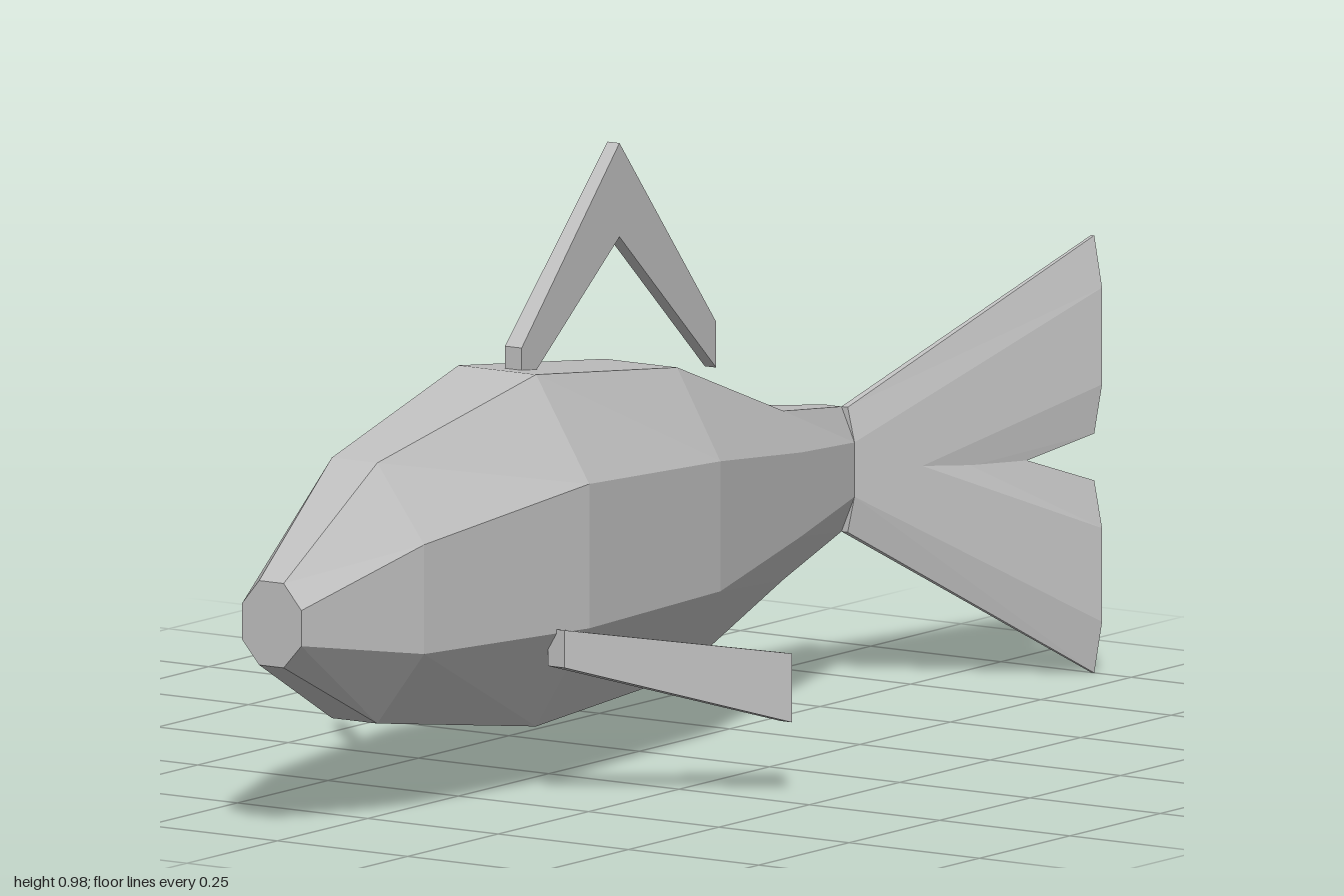
import * as THREE from 'three';

const skin = new THREE.MeshStandardMaterial({ color: 0xbfbfbf, flatShading: true });
skin.name = 'plain grey';

// Closed skin over matching rings, ordered front to back,
// each ring counter-clockwise as seen from the front.
function loft(name, rings) {
  const n = rings[0].length;
  const pos = [];
  const tri = (a, b, c) => pos.push(...a, ...b, ...c);
  for (let k = 0; k < rings.length - 1; k++) {
    for (let i = 0; i < n; i++) {
      const j = (i + 1) % n;
      const a = rings[k][i], b = rings[k][j], c = rings[k + 1][i], d = rings[k + 1][j];
      tri(a, c, b);
      tri(b, c, d);
    }
  }
  const front = rings[0], back = rings[rings.length - 1];
  for (let i = 1; i < n - 1; i++) {
    tri(front[0], front[i], front[i + 1]);
    tri(back[0], back[i + 1], back[i]);
  }
  const geometry = new THREE.BufferGeometry();
  geometry.setAttribute('position', new THREE.Float32BufferAttribute(pos, 3));
  geometry.computeVertexNormals();
  const mesh = new THREE.Mesh(geometry, skin);
  mesh.name = name;
  return mesh;
}

// Eight-sided section: outer x pair, flat x pair, then the four heights
const octagon = ([z, xl, xr, fl, fr, bottom, low, high, top]) => [
  [xr, low, z], [xr, high, z], [fr, top, z], [fl, top, z],
  [xl, high, z], [xl, low, z], [fl, bottom, z], [fr, bottom, z],
];

// Four-sided section of a plate
const plate = ([z, xl, xr, bottom, top]) => [
  [xr, bottom, z], [xr, top, z], [xl, top, z], [xl, bottom, z],
];

export function createModel() {
  const fish = new THREE.Group();
  fish.name = 'fish';

  // Body, bending to one side towards the tail
  fish.add(loft('body', [
    [1.0, -0.068, 0.046, -0.035, 0.012, 0.28, 0.318, 0.375, 0.415],
    [0.77, -0.132, 0.122, -0.055, 0.032, 0.16, 0.28, 0.455, 0.577],
    [0.39, -0.18, 0.175, -0.076, 0.073, 0.105, 0.272, 0.503, 0.668],
    [-0.04, -0.18, 0.128, -0.093, 0.045, 0.12, 0.265, 0.473, 0.615],
    [-0.42, -0.143, 0.02, -0.1, -0.015, 0.215, 0.288, 0.422, 0.485],
    [-0.67, -0.135, -0.052, -0.11, -0.077, 0.25, 0.308, 0.395, 0.45],
  ].map(octagon)));

  // Tail lobes spread from one shared root and cross each other
  const root = [-0.67, -0.09, -0.052, -0.077, -0.065, 0.25, 0.308, 0.395, 0.45];
  const lobe = (bottom, low, high, top) =>
    [-1.0, 0.157, 0.194, 0.173, 0.179, bottom, low, high, top];
  fish.add(loft('upperTailLobe', [root, lobe(0.385, 0.465, 0.62, 0.702)].map(octagon)));
  fish.add(loft('lowerTailLobe', [root, lobe(0.002, 0.085, 0.235, 0.31)].map(octagon)));

  // Bent back fin following the curve of the body
  fish.add(loft('backFin', [
    [0.345, -0.018, 0.014, 0.625, 0.698],
    [0.04, -0.033, -0.01, 0.83, 0.98],
    [-0.262, -0.056, -0.034, 0.575, 0.648],
  ].map(plate)));

  // Side fins, swept back
  for (const side of [1, -1]) {
    const fin = [
      [0.465, 0.148, 0.18, 0.22, 0.28],
      [0.2, 0.41, 0.432, 0.12, 0.23],
    ].map(([z, inner, outer, bottom, top]) => plate([
      z, Math.min(side * inner, side * outer), Math.max(side * inner, side * outer), bottom, top,
    ]));
    fish.add(loft(side > 0 ? 'leftFin' : 'rightFin', fin));
  }

  return fish;
}
